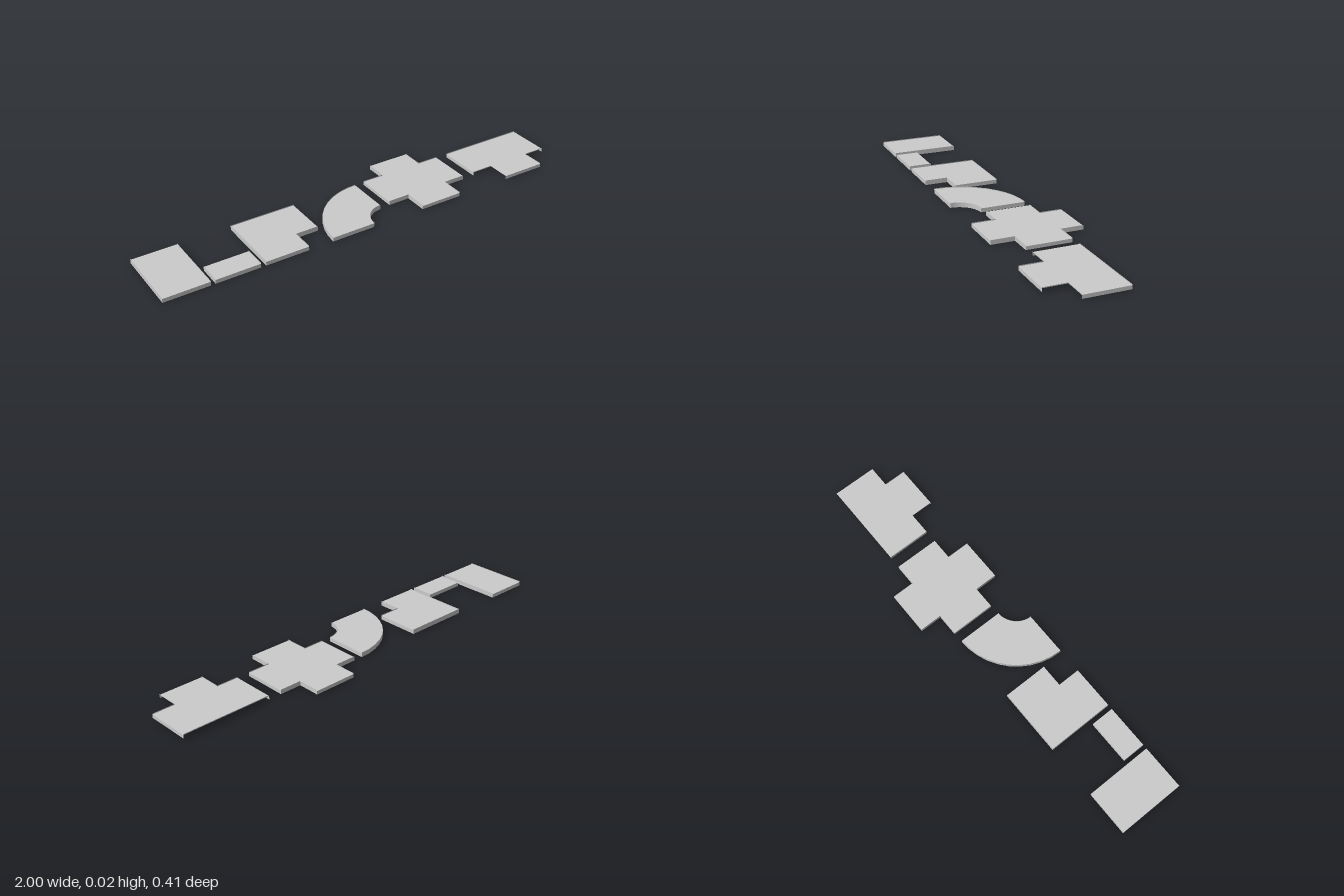
import * as THREE from 'three';
import { mergeGeometries } from 'three/addons/utils/BufferGeometryUtils.js';

const material = new THREE.MeshStandardMaterial({ color: 0xcccccc, side: THREE.DoubleSide, flatShading: true });
const KERB = 0.004; // how far the side walls rise above the floor
const BACK = -0.104, MID = 0.1, FRONT = 0.205;

// Upright sheet standing on the edge from a to b
function wall(a, b, y0, y1) {
  const dx = b[0] - a[0], dz = b[1] - a[1];
  const g = new THREE.PlaneGeometry(Math.hypot(dx, dz), y1 - y0);
  g.rotateY(Math.atan2(-dz, dx));
  return g.translate((a[0] + b[0]) / 2, (y0 + y1) / 2, (a[1] + b[1]) / 2);
}

// Horizontal sheet with the outline's [x, z] points
function sheet(points, y) {
  const shape = new THREE.Shape(points.map(([x, z]) => new THREE.Vector2(x, -z)));
  return new THREE.ShapeGeometry(shape).rotateX(-Math.PI / 2).translate(0, y, 0);
}

// A tile: floor, kerbed sides and low ends. `ends` lists the edges left open.
function tile(name, points, ends, { bottom = 0, top = 0.022, hollow = false } = {}) {
  const group = new THREE.Group();
  group.name = name;
  const floorY = top - KERB;
  const sides = [], caps = [];
  points.forEach((p, i) => {
    const q = points[(i + 1) % points.length];
    if (ends.includes(i)) caps.push(wall(p, q, bottom, floorY));
    else sides.push(wall(p, q, hollow ? floorY : bottom, top));
  });
  const add = (part, geometry) => {
    const mesh = new THREE.Mesh(geometry, material);
    mesh.name = part;
    group.add(mesh);
  };
  add('floor', sheet(points, floorY));
  add('sideWalls', mergeGeometries(sides));
  add('endWalls', mergeGeometries(caps));
  if (!hollow) add('underside', sheet(points, bottom));
  return group;
}

const rect = (x0, x1, z0, z1) => [[x0, z0], [x1, z0], [x1, z1], [x0, z1]];

// Quarter-turn outline around (cx, cz), outer arc then inner arc back
function quarterRing(cx, cz, outer, inner, steps) {
  const points = [];
  const arc = (r, from, to) => {
    for (let i = 0; i <= steps; i++) {
      const a = from + (to - from) * i / steps;
      points.push([cx - r * Math.cos(a), cz - r * Math.sin(a)]);
    }
  };
  arc(outer, 0, Math.PI / 2);
  arc(inner, Math.PI / 2, 0);
  return points;
}

export function createModel() {
  const model = new THREE.Group();
  model.name = 'pathTiles';

  // Straight pieces
  model.add(tile('straightTile', rect(-1, -0.795, BACK, FRONT), [0, 2]));
  model.add(tile('shortTile', rect(-0.775, -0.573, MID, FRONT), [0, 2]));

  // Square corner
  model.add(tile('cornerTile', [
    [-0.55, BACK], [-0.245, BACK], [-0.245, MID], [-0.35, MID], [-0.35, FRONT], [-0.55, FRONT],
  ], [1, 4]));

  // Rounded corner
  const steps = 10;
  model.add(tile('curveTile', quarterRing(0.072, FRONT, 0.306, 0.102, steps), [steps, 2 * steps + 1]));

  // Crossing
  const [a, b, c, d] = [0.12, 0.222, 0.424, 0.527];
  model.add(tile('crossTile', [
    [b, -0.207], [c, -0.207], [c, BACK], [d, BACK], [d, MID], [c, MID],
    [c, 0.207], [b, 0.207], [b, MID], [a, MID], [a, BACK], [b, BACK],
  ], [0, 3, 6, 9], { bottom: 0.003, top: 0.023 }));

  // T-junction, open underneath
  model.add(tile('junctionTile', [
    [0.587, BACK], [1, BACK], [1, MID], [0.896, MID], [0.896, FRONT], [0.69, FRONT], [0.69, MID], [0.587, MID],
  ], [1, 4, 7], { bottom: 0.003, top: 0.023, hollow: true }));

  return model;
}
